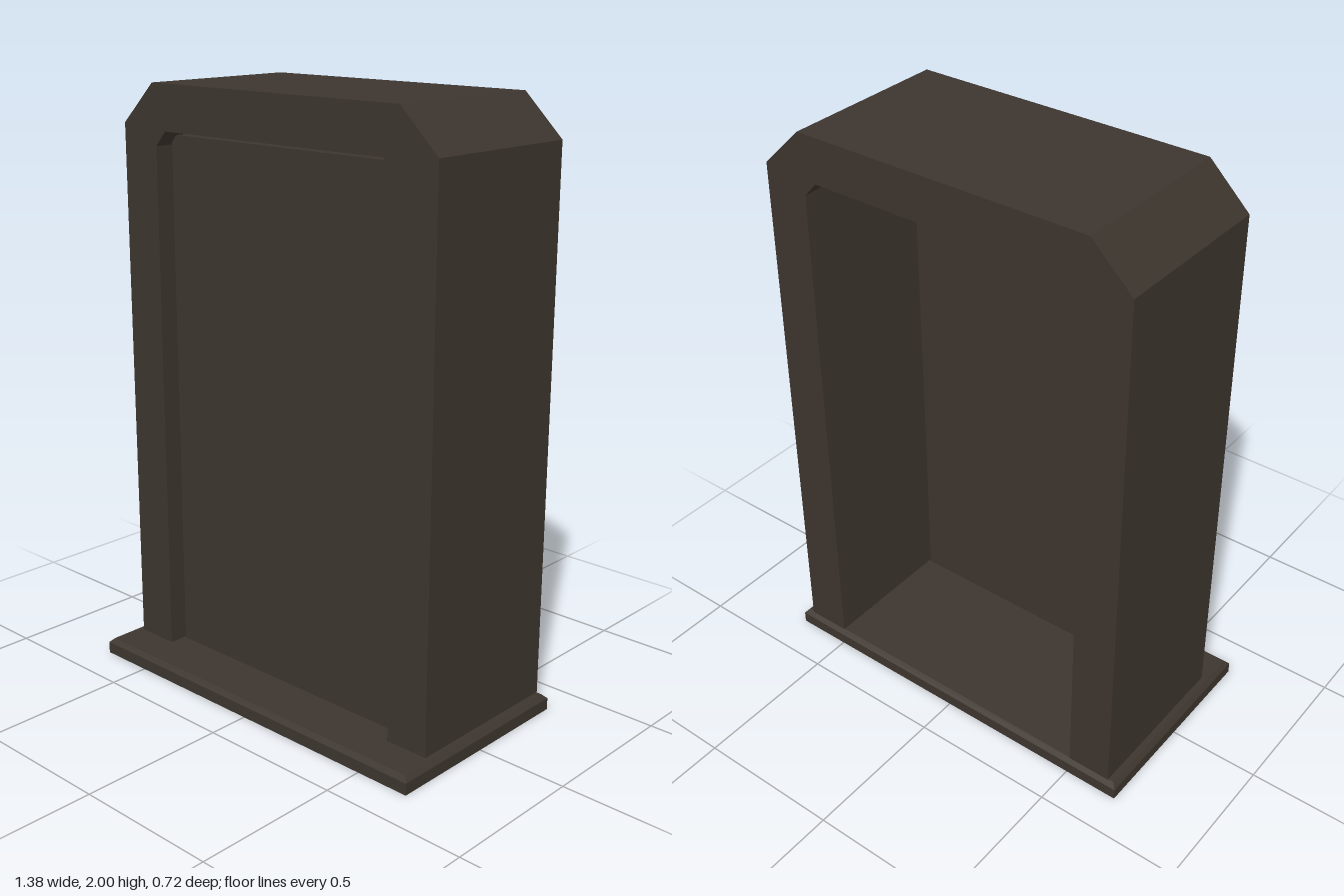
import * as THREE from 'three';

const BASE_TOP = 0.055;

// Chamfered arch outline, listed from bottom left over the top to bottom right
function archPoints(halfWidth, top, chamferX, chamferY) {
  return [
    [-halfWidth, BASE_TOP], [-halfWidth, top - chamferY], [-halfWidth + chamferX, top],
    [halfWidth - chamferX, top], [halfWidth, top - chamferY], [halfWidth, BASE_TOP],
  ].map(([x, y]) => new THREE.Vector2(x, y));
}

export function createModel() {
  const model = new THREE.Group();
  const darkBrown = new THREE.MeshStandardMaterial({ color: 0x3d352e });
  darkBrown.name = 'darkBrown';

  const add = (name, geometry) => {
    const mesh = new THREE.Mesh(geometry, darkBrown);
    mesh.name = name;
    model.add(mesh);
    return mesh;
  };

  // Base plate: a box with a bevelled rim around its top
  const plinth = add('basePlate', new THREE.BoxGeometry(1.38, 0.04, 0.724));
  plinth.position.y = 0.02;
  const rimGeometry = new THREE.BoxGeometry(1.38, 0.015, 0.724).toNonIndexed();
  const p = rimGeometry.attributes.position;
  for (let i = 0; i < p.count; i++) {
    if (p.getY(i) > 0) {
      p.setX(i, p.getX(i) - Math.sign(p.getX(i)) * 0.015);
      p.setZ(i, p.getZ(i) - Math.sign(p.getZ(i)) * 0.015);
    }
  }
  rimGeometry.computeVertexNormals();
  const rim = add('baseBevel', rimGeometry);
  rim.position.y = 0.0475;

  // Deep door frame: outer arch down one side, inner arch back up the other
  const outer = archPoints(0.655, 2, 0.14, 0.135);
  const inner = archPoints(0.503, 1.85, 0.045, 0.05);
  const frameShape = new THREE.Shape([...outer, ...inner.reverse()]);
  const frame = add('frame', new THREE.ExtrudeGeometry(frameShape, { depth: 0.58, bevelEnabled: false }));
  frame.position.z = -0.35;

  // Door panel, set slightly behind the front of the frame with a narrow gap
  const panelTop = 1.833;
  const panel = add('doorPanel', new THREE.BoxGeometry(0.99, panelTop - BASE_TOP, 0.04));
  panel.position.set(0, (panelTop + BASE_TOP) / 2, 0.15);

  return model;
}
